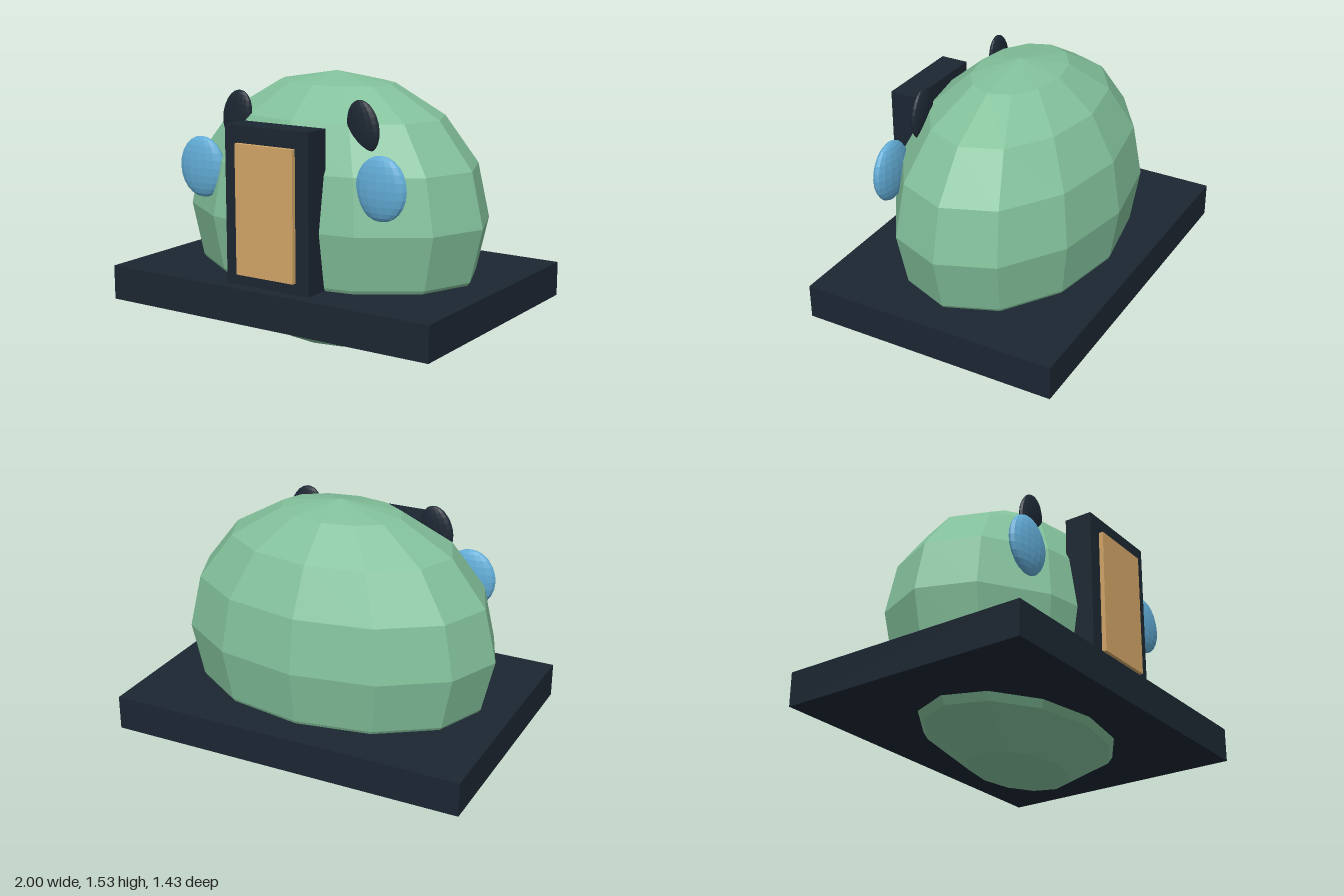
import * as THREE from 'three';

const material = (color) => new THREE.MeshStandardMaterial({ color, flatShading: true });

export function createModel() {
  const model = new THREE.Group();
  const green = material(0x82c09a);
  const navy = material(0x1c2632);
  const tan = material(0xd2a668);
  const blue = material(0x62acd6);

  function add(name, geometry, mat, x, y, z) {
    const mesh = new THREE.Mesh(geometry, mat);
    mesh.name = name;
    mesh.position.set(x, y, z);
    model.add(mesh);
    return mesh;
  }

  // Sphere stretched to three radii
  const ellipsoid = (rx, ry, rz, across, down) =>
    new THREE.SphereGeometry(1, across, down).scale(rx, ry, rz);

  // Faceted body sunk through a flat slab
  add('body', ellipsoid(0.9, 0.765, 0.6, 12, 8), green, 0, 0.77, 0);
  add('base', new THREE.BoxGeometry(2, 0.19, 1.435), navy, 0, 0.365, 0);

  // Door block with a raised panel
  add('doorFrame', new THREE.BoxGeometry(0.52, 0.86, 0.155), navy, 0, 0.87, 0.5675);
  add('doorPanel', new THREE.BoxGeometry(0.36, 0.69, 0.04), tan, 0, 0.865, 0.65);

  // Mirrored flattened discs: a blue eye and a dark brow on each side
  for (const [side, s] of [['left', 1], ['right', -1]]) {
    add(side + 'Eye', ellipsoid(0.149, 0.167, 0.047, 16, 12), blue, s * 0.568, 1.02, 0.457);
    const brow = add(side + 'Brow', ellipsoid(0.094, 0.137, 0.03, 16, 12), navy, s * 0.4, 1.305, 0.36);
    brow.rotation.z = s * 0.25;
  }

  return model;
}
